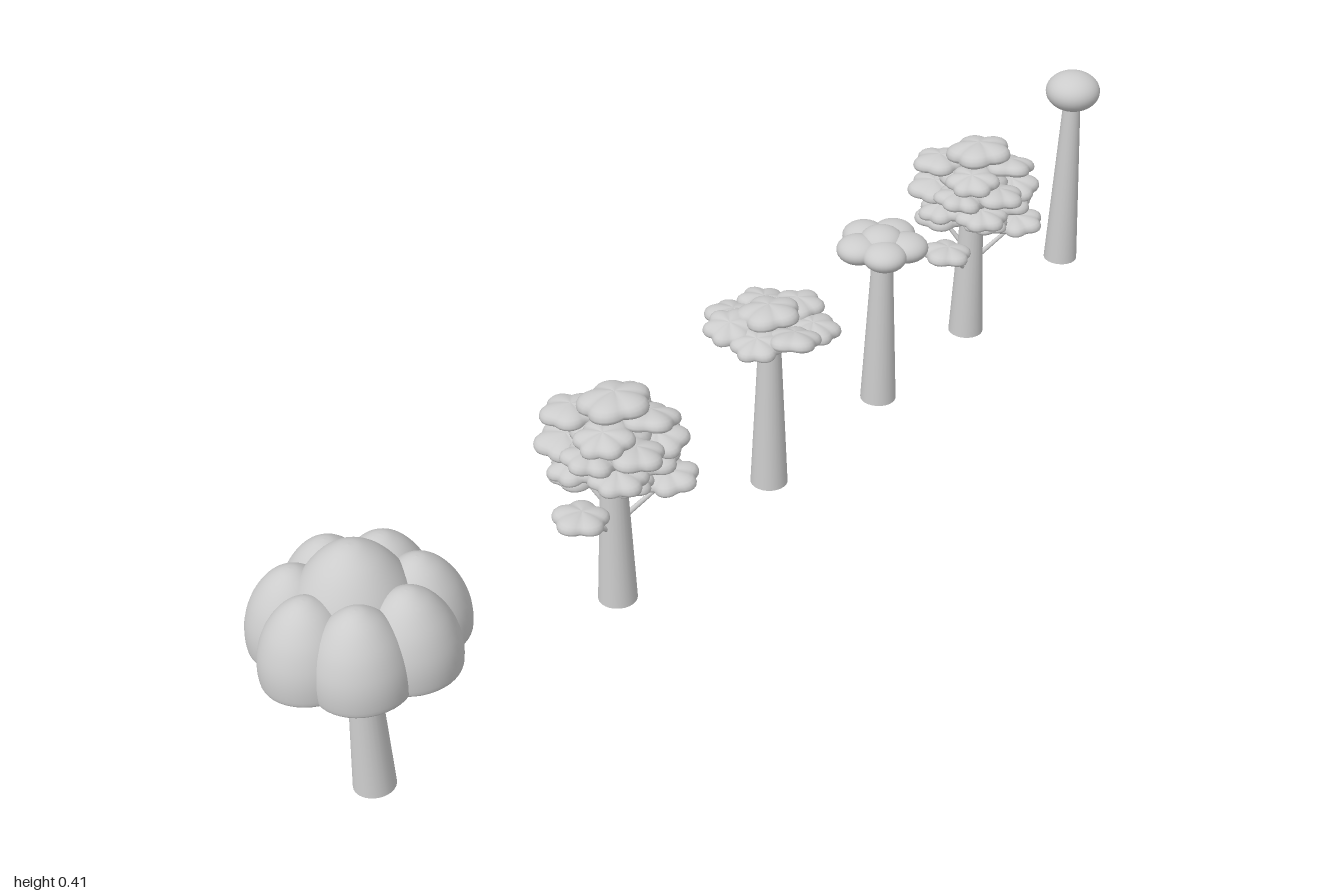
import * as THREE from 'three';

const grey = new THREE.MeshStandardMaterial({ color: 0xcccccc });
const greyOpen = new THREE.MeshStandardMaterial({ color: 0xcccccc, side: THREE.DoubleSide });

function add(parent, name, geometry, x, y, z, material = grey) {
  const mesh = new THREE.Mesh(geometry, material);
  mesh.name = name;
  mesh.position.set(x, y, z);
  parent.add(mesh);
  return mesh;
}

function makeTree(name, z, trunkHeight) {
  const tree = new THREE.Group();
  tree.name = name;
  tree.position.set(-0.007, 0, z);
  // Every trunk follows the same taper
  const top = 0.03 - 0.047 * trunkHeight;
  const trunk = new THREE.CylinderGeometry(top, 0.03, trunkHeight, 24, 1, true);
  add(tree, 'trunk', trunk, 0, trunkHeight / 2, 0, greyOpen);
  return tree;
}

// Flattened leaf clump: a scalloped ellipsoid with a flatter underside
function clumpGeometry(radius, lobes, phase) {
  const g = new THREE.SphereGeometry(1, 40, 14);
  const p = g.attributes.position;
  for (let i = 0; i < p.count; i++) {
    const x = p.getX(i), y = p.getY(i), z = p.getZ(i);
    const a = Math.atan2(z, x);
    const side = Math.sqrt(Math.max(0, 1 - y * y));
    const scallop = Math.abs(Math.cos(a * lobes / 2 + phase)) + 0.25 * Math.sin(a + phase * 2);
    const k = radius * (0.84 + 0.2 * scallop * side);
    const h = radius * (y > 0 ? 0.42 : 0.28) * (0.85 + 0.2 * scallop * side);
    p.setXYZ(i, x * k, Math.sign(y) * Math.pow(Math.abs(y), 0.8) * h, z * k);
  }
  // Weld the seam before smoothing the normals
  g.computeVertexNormals();
  const n = g.attributes.normal, row = 41;
  for (let r = 0; r <= 14; r++) {
    const a = r * row, b = a + 40;
    const v = new THREE.Vector3().fromBufferAttribute(n, a)
      .add(new THREE.Vector3().fromBufferAttribute(n, b)).normalize();
    n.setXYZ(a, v.x, v.y, v.z);
    n.setXYZ(b, v.x, v.y, v.z);
  }
  return g;
}

function addClumps(tree, clumps) {
  clumps.forEach(([x, y, z, r], i) => {
    const clump = add(tree, 'leafClump', clumpGeometry(r, 5 + i % 2, i * 0.9), x, y, z);
    clump.rotation.set(0.12 * Math.sin(i * 2.1), i * 1.3, 0.12 * Math.cos(i * 1.7));
  });
}

// Ring of clumps at one height: [x, y, z, radius] entries
function ring(count, distance, y, radius, start) {
  return Array.from({ length: count }, (_, i) => {
    const a = start + i * Math.PI * 2 / count;
    return [Math.sin(a) * distance, y + 0.007 * Math.sin(i * 2.4), Math.cos(a) * distance, radius];
  });
}

// Broad tree with a crown of hollow domes
function domeTree(z) {
  const tree = makeTree('domeTree', z, 0.3);
  const outline = new THREE.SplineCurve([
    [0.061, 0], [0.066, 0.005], [0.0672, 0.03], [0.063, 0.055],
    [0.052, 0.082], [0.034, 0.106], [0.014, 0.12], [0, 0.123],
  ].map(([x, y]) => new THREE.Vector2(x, y))).getPoints(28);
  outline.forEach(p => { p.x = Math.max(p.x, 0); });
  // Inner rim turned up under the lip, closed by a shallow ceiling
  const underside = [[0, 0.03], [0.03, 0.028], [0.05, 0.016], [0.056, 0.003]]
    .map(([x, y]) => new THREE.Vector2(x, y));
  const dome = new THREE.LatheGeometry([...underside, ...outline], 40);
  for (let i = 0; i < 7; i++) {
    const a = -0.09 + i * Math.PI * 2 / 7;
    add(tree, 'outerDome', dome, 0.004 + Math.sin(a) * 0.083, 0.242, Math.cos(a) * 0.083, greyOpen);
  }
  add(tree, 'centreDome', dome, 0, 0.239, 0, greyOpen).scale.setScalar(1.35);
  return tree;
}

// Tall tree with many tiers of leaf clumps
function tieredTree(z) {
  const tree = makeTree('tieredTree', z, 0.3);
  addClumps(tree, [
    [0.01, 0.353, 0, 0.054],
    ...ring(4, 0.058, 0.322, 0.044, 0.5),
    ...ring(6, 0.066, 0.29, 0.044, 0.2),
    ...ring(5, 0.058, 0.255, 0.044, 0.8),
    [-0.045, 0.222, 0.02, 0.046],
    [0.03, 0.222, 0.005, 0.038],
    [0.002, 0.187, 0.075, 0.042],
    [0.05, 0.202, -0.065, 0.044],
    [0, 0.3, 0, 0.06],
  ]);
  // Thin branches reaching the lowest clumps
  const up = new THREE.Vector3(0, 1, 0);
  for (const [x, y, zEnd] of [[0.002, 0.18, 0.07], [0.045, 0.195, -0.06], [-0.045, 0.215, 0.02]]) {
    const start = new THREE.Vector3(0, y - 0.06, 0);
    const dir = new THREE.Vector3(x, y, zEnd).sub(start);
    const length = dir.length();
    const mid = start.clone().addScaledVector(dir, 0.5);
    const branch = add(tree, 'branch', new THREE.CylinderGeometry(0.003, 0.005, length, 8), mid.x, mid.y, mid.z);
    branch.quaternion.setFromUnitVectors(up, dir.normalize());
  }
  return tree;
}

// Flat umbrella-shaped tree
function umbrellaTree(z) {
  const tree = makeTree('umbrellaTree', z, 0.29);
  addClumps(tree, [
    [0, 0.312, 0, 0.05],
    ...ring(7, 0.066, 0.293, 0.042, 0.35),
    [0.02, 0.275, -0.03, 0.05],
    [-0.02, 0.275, 0.02, 0.045],
  ]);
  return tree;
}

// Small tree with smooth rounded lobes
function lobedTree(z) {
  const tree = makeTree('lobedTree', z, 0.29);
  const ball = new THREE.SphereGeometry(0.036, 28, 18);
  for (let i = 0; i < 5; i++) {
    const a = Math.PI + 0.1 + i * Math.PI * 2 / 5;
    const lobe = add(tree, 'leafLobe', ball, -0.003 + Math.sin(a) * 0.041, 0.294, Math.cos(a) * 0.041);
    lobe.scale.y = 0.62;
  }
  add(tree, 'centreLobe', ball, -0.003, 0.302, 0).scale.set(1, 0.63, 1);
  return tree;
}

// Slim tree with a single round crown
function ballTree(z) {
  const tree = makeTree('ballTree', z, 0.325);
  add(tree, 'crown', new THREE.SphereGeometry(0.048, 32, 20), 0, 0.339, 0).scale.y = 0.72;
  return tree;
}

export function createModel() {
  const model = new THREE.Group();
  model.name = 'treeRow';
  model.add(
    domeTree(0.848), tieredTree(0.33), umbrellaTree(-0.05),
    lobedTree(-0.358), tieredTree(-0.63), ballTree(-0.952),
  );
  return model;
}
